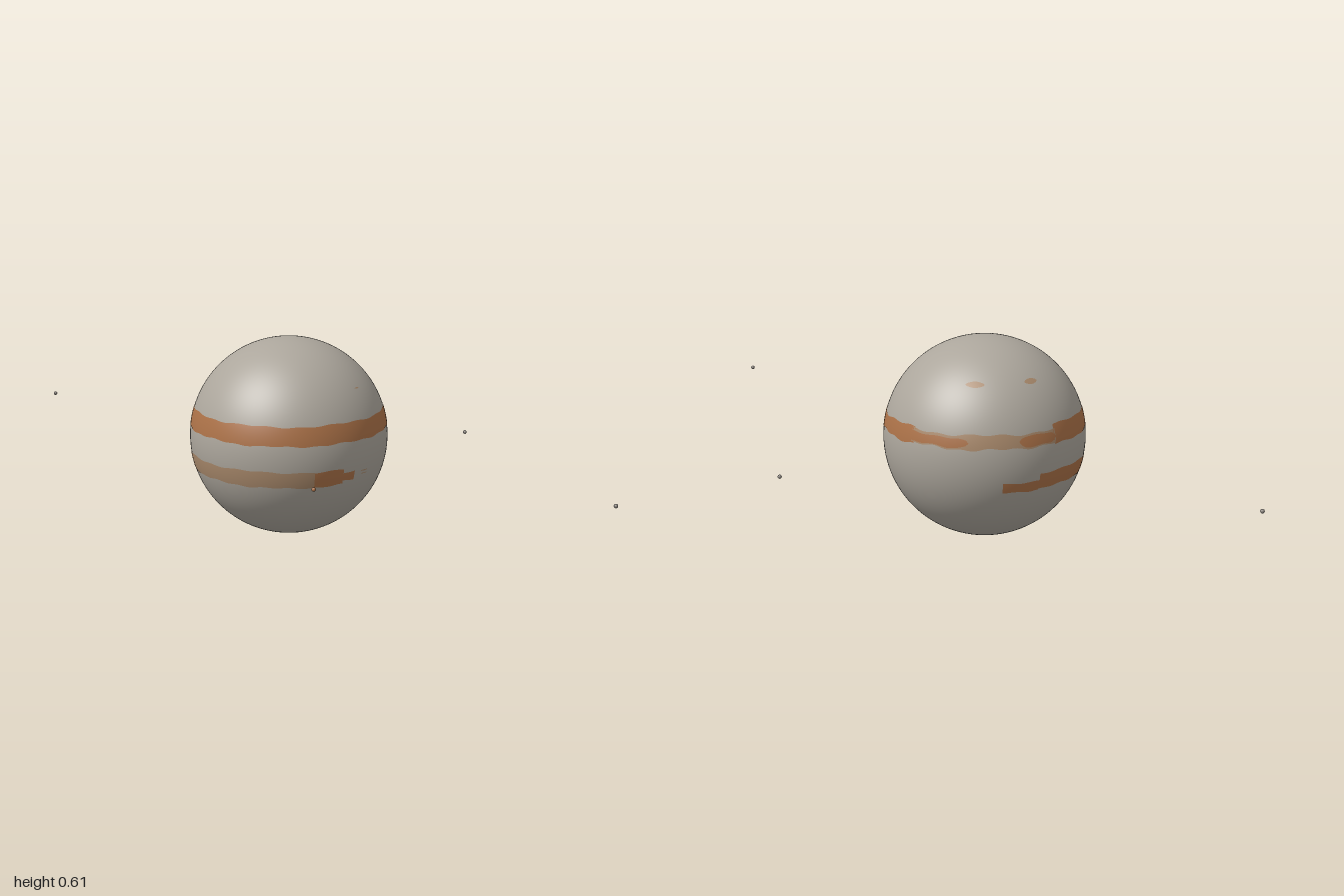
import * as THREE from 'three';

const R = 0.303;
const CENTER = new THREE.Vector3(-0.06, 0.304, -0.05);

const mat = (name, color) => {
  const m = new THREE.MeshStandardMaterial({ color });
  m.name = name;
  return m;
};

// Surface patch hugging the globe, between two heights along a range of
// longitudes in degrees (0 = front, 90 = the model's left)
function patch(name, material, from, to, low, high, { rough = 0.003, taper = 0, lift = 0.0008 } = {}) {
  const cols = Math.max(8, Math.round((to - from) / 1.5)), rows = 6;
  const pos = [], nor = [], idx = [];
  const r = R + lift;
  for (let i = 0; i <= cols; i++) {
    const t = i / cols;
    const deg = from + (to - from) * t;
    const a = THREE.MathUtils.degToRad(deg);
    // uneven edges, whole waves per turn so closed bands meet
    const w1 = Math.sin(a * 9) * 0.5 + Math.sin(a * 23 + 1) * 0.5;
    const w2 = Math.sin(a * 7 + 2) * 0.5 + Math.sin(a * 19) * 0.5;
    // rounded ends
    const end = taper ? Math.sqrt(Math.min(1, Math.min(t, 1 - t) / taper)) : 1;
    const mid = (low + high) / 2;
    const lo = mid + (low + w1 * rough - mid) * end - CENTER.y;
    const hi = mid + (high + w2 * rough - mid) * end - CENTER.y;
    for (let j = 0; j <= rows; j++) {
      const y = (lo + (hi - lo) * j / rows) / R;
      const ring = Math.sqrt(1 - y * y);
      const n = [Math.sin(a) * ring, y, Math.cos(a) * ring];
      nor.push(...n);
      pos.push(n[0] * r, n[1] * r, n[2] * r);
    }
  }
  for (let i = 0; i < cols; i++) {
    for (let j = 0; j < rows; j++) {
      const a = i * (rows + 1) + j, b = a + rows + 1;
      idx.push(a, b, b + 1, a, b + 1, a + 1);
    }
  }
  const g = new THREE.BufferGeometry();
  g.setAttribute('position', new THREE.Float32BufferAttribute(pos, 3));
  g.setAttribute('normal', new THREE.Float32BufferAttribute(nor, 3));
  g.setIndex(idx);
  const mesh = new THREE.Mesh(g, material);
  mesh.name = name;
  return mesh;
}

export function createModel() {
  const model = new THREE.Group();
  model.name = 'planetWithMoons';

  const grey = mat('warmGrey', 0xaca69c);
  const rust = mat('rust', 0xac7248);
  const tan = mat('tan', 0xaa8a6c);
  const moonGrey = mat('moonGrey', 0x8c8680);

  // Planet
  const planet = new THREE.Group();
  planet.name = 'planet';
  planet.position.copy(CENTER);
  const globe = new THREE.Mesh(new THREE.SphereGeometry(R, 128, 96), grey);
  globe.name = 'globe';
  planet.add(globe);

  // Upper belt: wide in front, thin and broken behind
  planet.add(
    patch('upperBelt', rust, -115, 115, 0.342, 0.398),
    patch('upperBeltSide', rust, 115, 160, 0.342, 0.388, { rough: 0.005 }),
    patch('upperBeltBack', tan, 158, 246, 0.346, 0.386, { rough: 0.005 }),
    patch('upperBeltBackPatch', rust, 150, 194, 0.35, 0.378, { rough: 0.004, taper: 0.15, lift: 0.0014 }),
    patch('upperBeltBackPatch', rust, 222, 246, 0.35, 0.38, { rough: 0.004, taper: 0.15, lift: 0.0014 }),
  );

  // Lower belt: stops short on the left and behind
  planet.add(
    patch('lowerBelt', tan, -62, 32, 0.214, 0.264),
    patch('lowerBeltLeftEnd', rust, 32, 50, 0.214, 0.262),
    patch('lowerBeltLeftTip', rust, 50, 58, 0.224, 0.25),
    patch('lowerBeltRight', rust, -125, -62, 0.214, 0.262),
    patch('lowerBeltRightTip', rust, -147, -125, 0.212, 0.242),
  );

  // Small spots and streaks: from, to, low, high
  const spots = [
    [188, 203, 0.508, 0.522], [234, 246, 0.508, 0.522],
    [63, 69, 0.243, 0.247], [63, 69, 0.234, 0.237],
    [107, 112, 0.238, 0.241], [107, 112, 0.228, 0.231],
    [70, 75, 0.48, 0.484],
  ];
  for (const [from, to, low, high] of spots) {
    planet.add(patch('spot', tan, from, to, low, high, { rough: 0.0005, taper: 0.4 }));
  }
  model.add(planet);

  // Moons
  const moons = [
    [-0.994, 0.295, -0.383, moonGrey],
    [0.403, 0.239, -0.479, moonGrey],
    [0.176, 0.295, 0.479, rust],
    [0.994, 0.295, 0.396, moonGrey],
  ];
  for (const [x, y, z, material] of moons) {
    const moon = new THREE.Mesh(new THREE.SphereGeometry(0.006, 24, 16), material);
    moon.name = 'moon';
    moon.position.set(x, y, z);
    model.add(moon);
  }
  return model;
}
